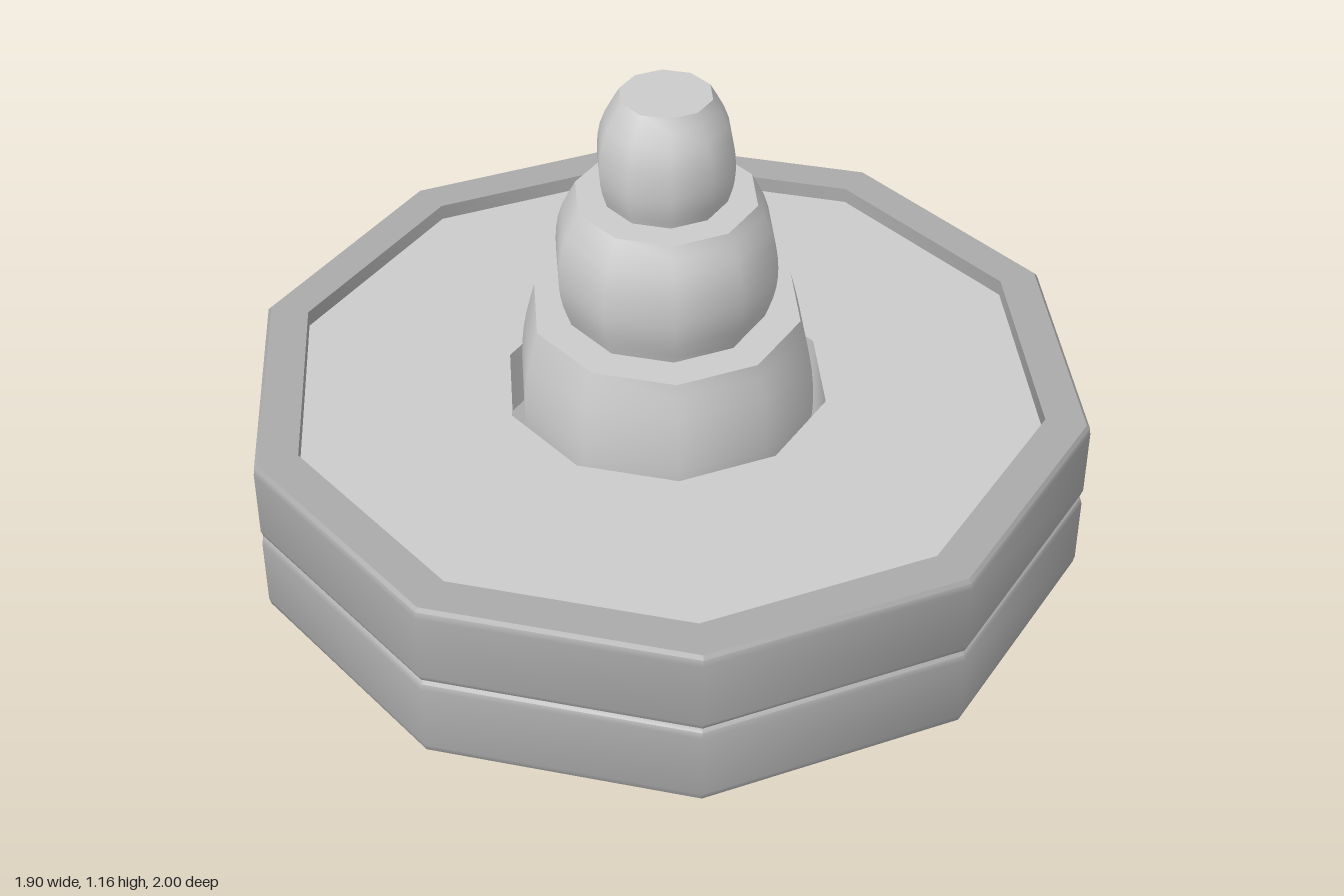
import * as THREE from 'three';
import { toCreasedNormals } from 'three/addons/utils/BufferGeometryUtils.js';

const SIDES = 10;

// Ten-sided turned part from a profile of [radius, y] points
function turned(name, profile, color = 0xcccccc) {
  const points = profile.map(([r, y]) => new THREE.Vector2(r, y));
  const geometry = toCreasedNormals(new THREE.LatheGeometry(points, SIDES), 0.8);
  const mesh = new THREE.Mesh(geometry, new THREE.MeshStandardMaterial({ color }));
  mesh.name = name;
  return mesh;
}

// Barrel-like tier with a flat top, curved through its [radius, y] points
function tier(name, controls) {
  const curve = new THREE.SplineCurve(controls.map(([r, y]) => new THREE.Vector2(r, y)));
  const wall = curve.getPoints(10).map((p) => [p.x, p.y]);
  const top = controls[controls.length - 1][1];
  return turned(name, [...wall, [0, top]]);
}

export function createModel() {
  const fountain = new THREE.Group();
  fountain.name = 'fountain';

  // Basin: two stacked courses with a fine groove, a rim and a sunken floor
  fountain.add(turned('basin', [
    [0, 0], [0.985, 0], [0.996, 0.008], [1, 0.025],
    [1, 0.19], [0.996, 0.203], [0.985, 0.21], [0.996, 0.217], [1, 0.23],
    [1, 0.395], [0.998, 0.412], [0.99, 0.42],
    [0.895, 0.42], [0.895, 0.21], [0, 0.21],
  ], 0xaaaaaa));

  // Water slab with a hole around the centrepiece
  fountain.add(turned('water', [[0.897, 0.38], [0.385, 0.38], [0.385, 0.21]]));

  // Centrepiece tiers
  fountain.add(tier('lowerTier', [[0.325, 0.21], [0.347, 0.29], [0.355, 0.38], [0.345, 0.49], [0.318, 0.6]]));
  fountain.add(tier('middleTier', [[0.234, 0.6], [0.256, 0.67], [0.262, 0.74], [0.25, 0.82], [0.212, 0.9]]));
  fountain.add(tier('upperTier', [[0.142, 0.9], [0.156, 0.95], [0.159, 1.01], [0.147, 1.08], [0.106, 1.16]]));

  return fountain;
}
